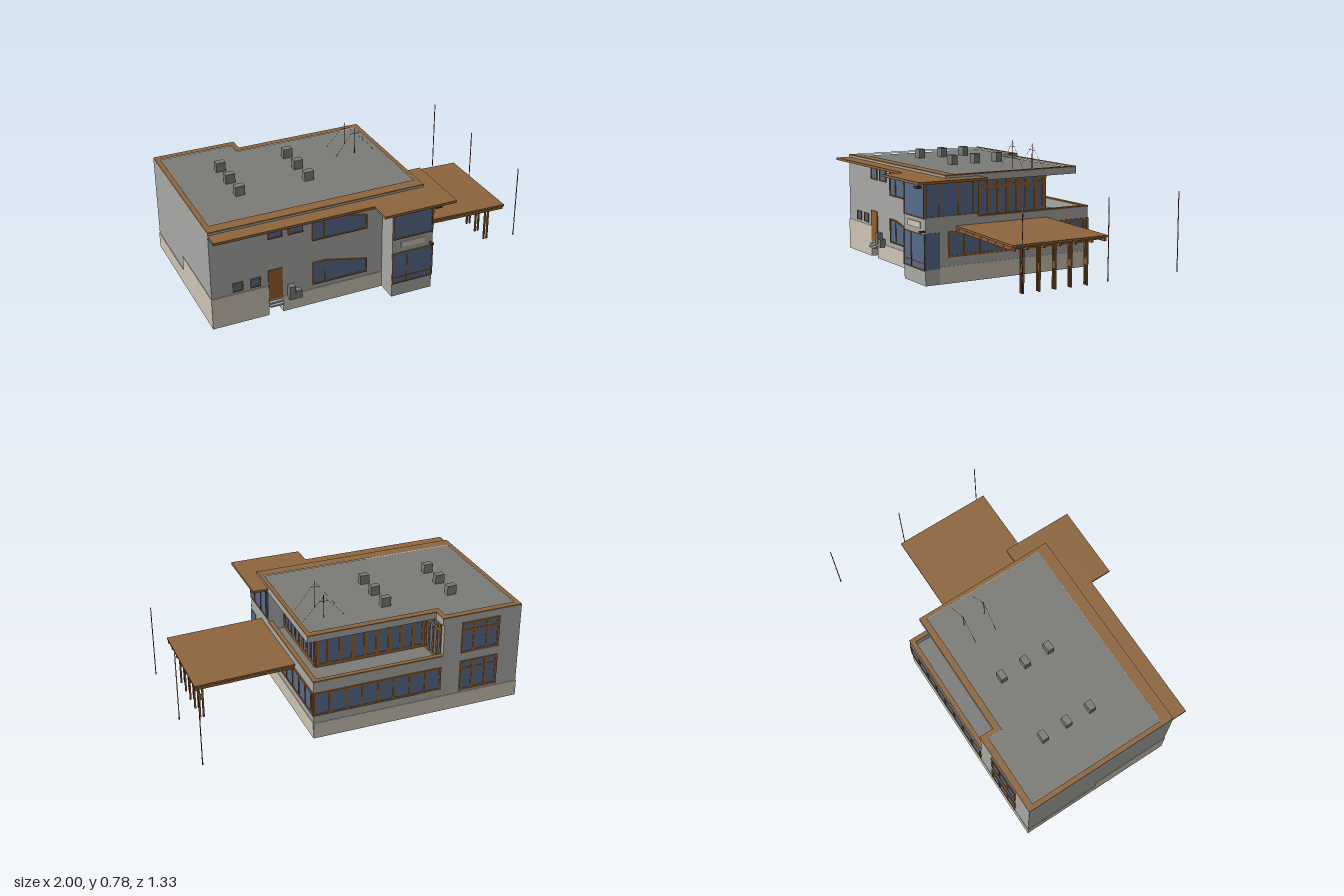
import * as THREE from 'three';

const mat = (name, color) => Object.assign(new THREE.MeshStandardMaterial({ color }), { name });

export function createModel() {
  const wall = mat('wall grey', 0xa8a8a6), deck = mat('roof grey', 0x7b7b78), wood = mat('roof wood', 0x8d653d),
    frame = mat('frame wood', 0x935f2c), glass = mat('window glass', 0x566a8a), stone = mat('plinth beige', 0xccc4b5),
    dark = mat('dark metal', 0x3a3a3a), red = mat('pole red', 0x8c1418), pale = mat('pole white', 0xd8d8d8);
  const model = new THREE.Group();
  model.name = 'house';

  const add = (name, geo, m, parent = model) => {
    const mesh = new THREE.Mesh(geo, m);
    mesh.name = name;
    parent.add(mesh);
    return mesh;
  };
  // box from its min and max corners
  const box = (name, m, x0, x1, y0, y1, z0, z1, parent = model) => {
    const b = add(name, new THREE.BoxGeometry(x1 - x0, y1 - y0, z1 - z0), m, parent);
    b.position.set((x0 + x1) / 2, (y0 + y1) / 2, (z0 + z1) / 2);
    return b;
  };
  // vertical prism over a footprint of [x, z] points
  const prism = (name, m, pts, y0, y1, hole) => {
    const plan = p => p.map(([x, z]) => new THREE.Vector2(x, -z));
    const s = new THREE.Shape(plan(pts));
    if (hole) s.holes.push(new THREE.Path(plan(hole)));
    const g = new THREE.ExtrudeGeometry(s, { depth: y1 - y0, bevelEnabled: false });
    add(name, g.rotateX(-Math.PI / 2).translate(0, y0, 0), m);
  };
  // thin rod between two points
  const rod = (name, m, a, b, r) => {
    const p = new THREE.Vector3(...a), d = new THREE.Vector3(...b).sub(p);
    const c = add(name, new THREE.CylinderGeometry(r, r, d.length(), 6), m);
    c.position.copy(p).addScaledVector(d, 0.5);
    c.quaternion.setFromUnitVectors(new THREE.Vector3(0, 1, 0), d.normalize());
  };
  // facade group: local x runs along the wall, local z is the outward distance
  const facade = (name, turn) => {
    const g = new THREE.Group();
    g.name = name;
    g.rotation.y = turn * Math.PI / 2;
    model.add(g);
    return g;
  };
  const front = facade('frontFacade', 0), left = facade('leftFacade', 1), back = facade('backFacade', 2);

  // glazed strip with border, mullions and transoms
  const glazing = (name, side, d, u0, u1, y0, y1, mullions = [], transoms = [], w = 0.008) => {
    const g = new THREE.Group();
    g.name = name;
    side.add(g);
    box('pane', glass, u0, u1, y0, y1, d - 0.004, d + 0.003, g);
    for (const u of [u0 + w / 2, ...mullions, u1 - w / 2])
      box('mullion', frame, u - w / 2, u + w / 2, y0, y1, d, d + 0.007, g);
    for (const y of [y0 + w / 2, ...transoms, y1 - w / 2])
      box('transom', frame, u0, u1, y - w / 2, y + w / 2, d, d + 0.0065, g);
  };
  const steps = (a, b, n) => Array.from({ length: n - 1 }, (_, i) => a + (b - a) * (i + 1) / n);

  // storeys: the upper one is set back behind a corner terrace
  prism('groundFloor', wall, [[-1, -0.54], [0.305, -0.54], [0.305, 0.57], [0.045, 0.57], [0.045, 0.44], [-1, 0.44]], 0.09, 0.31);
  prism('upperFloor', wall, [[-1, -0.54], [-0.5, -0.54], [-0.5, -0.3], [0.2, -0.3], [0.2, 0.23], [0.305, 0.23],
    [0.305, 0.57], [0.045, 0.57], [0.045, 0.44], [-1, 0.44]], 0.31, 0.59);
  box('foundationSlab', deck, -0.98, 0.285, 0.084, 0.09, -0.52, 0.42);

  // hollow plinth with a gap for the entrance
  const t = 0.03;
  box('plinthBack', stone, -1, 0.305, 0, 0.1, -0.543, -0.54 + t);
  box('plinthLeft', stone, 0.305 - t, 0.308, 0, 0.1, -0.54, 0.48);
  box('plinthRight', stone, -1.0, -1 + t, 0, 0.1, -0.54, 0.44);
  box('plinthFront', stone, -0.58, 0.045, 0, 0.1, 0.44 - t, 0.443);
  box('plinthFront', stone, -1, -0.665, 0, 0.1, 0.44 - t, 0.443);
  box('plinthPanelFront', stone, -1, -0.665, 0, 0.195, 0.437, 0.444);
  box('plinthPanelSide', stone, -1.003, -0.996, 0, 0.195, -0.06, 0.444);
  box('plinthPanelSide', stone, -1.003, -0.996, 0, 0.1, -0.543, -0.06);
  box('bayPlinth', wall, 0.045, 0.305, 0, 0.09, 0.57 - t, 0.57);
  box('bayPlinth', wall, 0.305 - t, 0.305, 0, 0.09, 0.48, 0.57);
  box('bayPlinth', wall, 0.045, 0.045 + t, 0, 0.09, 0.41, 0.57);

  // entrance recess, steps and door
  box('entranceRecess', wall, -0.665, -0.58, 0, 0.09, 0.35, 0.37);
  for (const x of [-0.675, -0.58]) box('entranceCheek', wall, x, x + 0.01, 0, 0.09, 0.36, 0.42);
  for (let i = 0; i < 3; i++)
    box('entranceStep', wall, -0.663, -0.582, 0.06 + i * 0.016, 0.07 + i * 0.016, 0.425 - i * 0.02, 0.465 - i * 0.01);
  box('door', frame, -0.665, -0.58, 0.1, 0.295, 0.436, 0.446);
  box('utilityBox', deck, -0.55, -0.512, 0.085, 0.17, 0.44, 0.475);
  box('utilityBox', deck, -0.51, -0.475, 0.085, 0.135, 0.44, 0.475);

  // terrace floor, parapet and wooden coping
  box('terraceFloor', deck, -0.5, 0.29, 0.309, 0.314, -0.53, -0.3);
  box('terraceFloor', deck, 0.2, 0.29, 0.309, 0.314, -0.3, 0.23);
  box('parapetBack', wall, -0.5, 0.305, 0.3, 0.367, -0.54, -0.515);
  box('parapetLeft', wall, 0.28, 0.305, 0.3, 0.367, -0.54, 0.23);
  box('copingBack', wood, -0.5, 0.306, 0.367, 0.376, -0.542, -0.513);
  box('copingLeft', wood, 0.278, 0.307, 0.367, 0.376, -0.54, 0.23);

  // roof slab, coping ring, projecting eaves
  prism('roofSlab', wall, [[-1, -0.54], [-0.49, -0.54], [-0.49, -0.45], [0.305, -0.45], [0.305, 0.44], [-1, 0.44]], 0.575, 0.598);
  prism('roofDeck', deck, [[-0.98, -0.52], [-0.51, -0.52], [-0.51, -0.43], [0.29, -0.43], [0.29, 0.41], [-0.98, 0.41]], 0.597, 0.606);
  const ring = [[-1, -0.54], [-0.49, -0.54], [-0.49, -0.45], [0.305, -0.45], [0.305, 0.44], [-1, 0.44]];
  const inner = [[-0.97, -0.5], [-0.52, -0.5], [-0.52, -0.41], [0.28, -0.41], [0.28, 0.37], [-0.97, 0.37]];
  prism('roofParapet', wall, ring, 0.597, 0.613, inner);
  prism('roofCoping', wood, ring, 0.613, 0.62, inner);
  prism('eaves', wood, [[-1, 0.435], [-1, 0.53], [-0.05, 0.53], [-0.05, 0.66], [0.4, 0.66], [0.4, 0.22],
    [0.3, 0.22], [0.3, 0.435]], 0.588, 0.603);

  // roof vents
  for (const x of [-0.685, -0.26]) for (const z of [-0.24, -0.08, 0.08])
    box('roofVent', deck, x - 0.029, x + 0.029, 0.6, 0.664, z - 0.02, z + 0.02);

  // front windows
  for (const [a, b, y0, y1] of [[-0.66, -0.575, 0.495, 0.567], [-0.54, -0.45, 0.495, 0.567],
    [-0.875, -0.815, 0.21, 0.267], [-0.77, -0.71, 0.21, 0.267]])
    glazing('smallWindow', front, 0.44, a, b, y0, y1, [], [], 0.006);
  for (const y of [0.13, 0.42]) {
    const outline = e => [[-0.395 + e, y + e], [-0.055 - e, y + e], [-0.055 - e, y + 0.09 - e], [-0.315, y + 0.147 - e],
      [-0.395 + e, y + 0.147 - e]].map(p => new THREE.Vector2(...p));
    const rim = new THREE.Shape(outline(0));
    rim.holes.push(new THREE.Path(outline(0.007)));
    const slab = (s, d) => new THREE.ExtrudeGeometry(s, { depth: d, bevelEnabled: false }).translate(0, 0, 0.44);
    add('slopedWindowPane', slab(new THREE.Shape(outline(0.002)), 0.003), glass, front);
    add('slopedWindowFrame', slab(rim, 0.008), frame, front);
    box('slopedWindowMullion', frame, -0.322, -0.315, y, y + 0.145, 0.44, 0.447, front);
  }

  // corner bay glazing
  glazing('bayWindowLower', front, 0.57, 0.046, 0.304, 0.085, 0.29, [0.14], [0.125], 0.005);
  glazing('bayWindowUpper', front, 0.57, 0.052, 0.298, 0.38, 0.577, [], [], 0.006);
  box('bayWindowSide', glass, -0.574, -0.48, 0.09, 0.298, 0.3, 0.309, left);
  box('baySign', stone, 0.1, 0.25, 0.322, 0.358, 0.57, 0.576);
  glazing('baySideUpper', left, 0.305, -0.565, -0.23, 0.387, 0.577, [-0.485, -0.36, -0.26], [], 0.006);

  // ribbon windows of the ground floor
  glazing('ribbonWindowLeft', left, 0.305, -0.425, 0.54, 0.15, 0.3, steps(-0.425, 0.52, 9).concat(0.51), [], 0.012);
  glazing('ribbonWindowBack', back, 0.54, -0.305, 0.49, 0.15, 0.3, steps(-0.305, 0.49, 8), [], 0.012);

  // terrace glazing, with a row of top lights
  glazing('terraceWindowLeft', left, 0.2, -0.23, 0.295, 0.318, 0.575, steps(-0.23, 0.295, 8), [0.522], 0.02);
  glazing('terraceWindowBack', back, 0.3, -0.2, 0.495, 0.318, 0.575, steps(-0.2, 0.495, 9), [0.522], 0.02);
  glazing('terraceWindowEnd', left, -0.5, 0.31, 0.51, 0.318, 0.575, steps(0.31, 0.51, 4), [0.522], 0.016);

  // paired windows of the rear block
  for (const y of [0.115, 0.37])
    glazing('rearWindow', back, 0.54, 0.615, 0.86, y, y + 0.2, [0.695, 0.78], [y + 0.145], 0.014);

  // sloping canopy on paired posts
  const canopy = new THREE.Group();
  canopy.name = 'canopy';
  canopy.position.set(0.3, 0.325, 0);
  canopy.rotation.z = -0.028;
  model.add(canopy);
  box('canopyDeck', wood, 0, 0.61, -0.009, 0.003, -0.24, 0.375, canopy);
  for (let i = 0; i < 8; i++) {
    const x = 0.02 + i * 0.08;
    box('canopyBatten', frame, x, x + 0.01, -0.021, -0.008, -0.235, 0.37, canopy);
  }
  for (const z of [0.36, 0.28, 0.175, 0.073, -0.03, -0.137, -0.225])
    box('canopyJoist', frame, 0, 0.608, -0.03, -0.009, z - 0.007, z + 0.007, canopy);
  for (const z of [0.28, 0.175, 0.073, -0.03, -0.137]) {
    for (const x of [0.84, 0.861]) box('canopyPost', frame, x - 0.005, x + 0.005, 0.033, 0.29, z - 0.005, z + 0.005);
    box('postSpacer', frame, 0.842, 0.86, 0.15, 0.19, z - 0.004, z + 0.004);
  }

  // striped marker poles
  for (const z of [-0.663, -0.18, 0.37]) {
    const n = 10, h = 0.455 / n;
    for (let i = 0; i < n; i++)
      rod('markerPole', i % 2 ? pale : red, [0.996, 0.08 + i * h, z], [0.996, 0.08 + (i + 1) * h, z], 0.003);
    rod('markerPoleFoot', dark, [0.996, 0.075, z], [0.996, 0.09, z], 0.004);
  }

  // roof masts with guy wires
  for (const [z, top] of [[-0.11, 0.778], [-0.25, 0.75]]) {
    rod('mast', z < -0.2 ? red : dark, [0.13, 0.605, z], [0.13, top, z], 0.002);
    rod('mastArm', dark, [0.1, top - 0.04, z], [0.16, top - 0.04, z], 0.0012);
    for (const x of [0.005, 0.255]) rod('guyWire', dark, [0.13, top - 0.01, z], [x, 0.606, z], 0.0006);
  }

  // small lamps at the bay corner
  box('eavesLamp', dark, 0.285, 0.325, 0.558, 0.57, 0.6, 0.63);
  rod('eavesLampStem', dark, [0.305, 0.565, 0.615], [0.305, 0.59, 0.615], 0.003);
  box('bayLamp', dark, 0.283, 0.3, 0.304, 0.314, 0.57, 0.6);
  return model;
}
